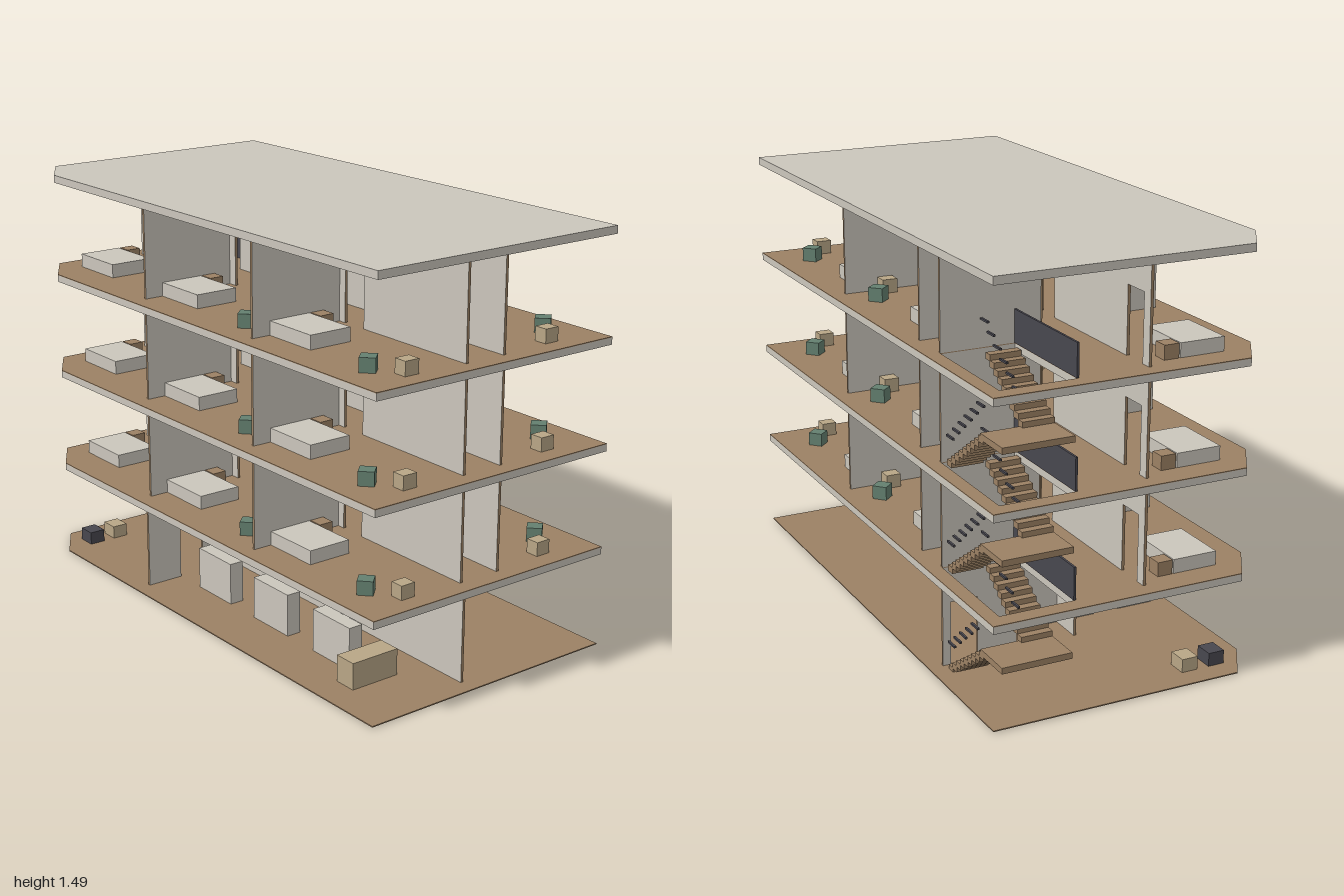
import * as THREE from 'three';

const mat = (name, color, side = THREE.FrontSide) => {
  const m = new THREE.MeshStandardMaterial({ color, side });
  m.name = name;
  return m;
};

export function createModel() {
  const root = new THREE.Group();
  root.name = 'apartmentBuilding';
  const plaster = mat('plaster', 0xcbc6bc);
  const wood = mat('wood', 0x9c8164);
  const tan = mat('tan', 0xb8a686);
  const green = mat('green', 0x648070);
  const dark = mat('dark', 0x48474f);

  const TOPS = [0.367, 0.741, 1.115, 1.49]; // upper faces of the slabs
  const SLAB = 0.028, T = 0.01;

  const add = (parent, name, geo, material) => {
    const m = new THREE.Mesh(geo, material);
    m.name = name;
    parent.add(m);
    return m;
  };
  // Box given by its ranges on each axis
  const box = (parent, name, material, [x0, x1], [y0, y1], [z0, z1]) => {
    const m = add(parent, name, new THREE.BoxGeometry(x1 - x0, y1 - y0, z1 - z0), material);
    m.position.set((x0 + x1) / 2, (y0 + y1) / 2, (z0 + z1) / 2);
    return m;
  };

  // Floor outline with one cut corner; optional stairwell opening
  const plate = (height, y, opening) => {
    const v = (x, z) => new THREE.Vector2(x, -z);
    const s = new THREE.Shape([v(-0.5, 1), v(0.51, 1), v(0.5, -1), v(-0.42, -1), v(-0.515, -0.85)]);
    if (opening) {
      s.holes.push(new THREE.Path([v(0.18, -0.515), v(0.18, -0.94), v(0.45, -0.94), v(0.45, -0.515)]));
    }
    const g = new THREE.ExtrudeGeometry(s, { depth: height, bevelEnabled: false });
    return g.rotateX(-Math.PI / 2).translate(0, y, 0);
  };

  // Wall with doorways: plaster faces, wooden ends and jambs.
  // axis 'x' runs along x at z = at; axis 'z' runs along z at x = at.
  const wall = (parent, name, axis, at, from, to, y, h, doors = []) => {
    const k = axis === 'x' ? 1 : -1;
    const [a, b] = [k * from, k * to].sort((p, q) => p - q);
    const s = new THREE.Shape();
    s.moveTo(a, 0);
    doors.map((d) => d.map((t) => k * t).sort((p, q) => p - q))
      .sort((p, q) => p[0] - q[0])
      .forEach(([d0, d1]) => {
        s.lineTo(d0, 0); s.lineTo(d0, 0.235); s.lineTo(d1, 0.235); s.lineTo(d1, 0);
      });
    s.lineTo(b, 0); s.lineTo(b, h); s.lineTo(a, h); s.closePath();
    const g = new THREE.ExtrudeGeometry(s, { depth: T, bevelEnabled: false }).translate(0, 0, -T / 2);
    if (axis === 'z') g.rotateY(Math.PI / 2).translate(at, y, 0);
    else g.translate(0, y, at);
    add(parent, name, g, [plaster, wood]);
  };

  // Bed with its nightstand, headboard end at z0
  const bedSet = (parent, side, y, z0) => {
    const span = (a, b) => (side > 0 ? [a, b] : [-b, -a]);
    box(parent, 'bed', plaster, span(0.215, 0.38), [y, y + 0.05], [z0, z0 + 0.22]);
    box(parent, 'nightstand', wood, span(0.155, 0.21), [y, y + 0.05], [z0, z0 + 0.055]);
  };
  // Small table and turned armchair
  const seating = (parent, side, y, z) => {
    const x = side * 0.3;
    box(parent, 'sideTable', tan, [x - 0.028, x + 0.028], [y, y + 0.05], [z - 0.025, z + 0.025]);
    const chair = box(parent, 'armchair', green, [-0.027, 0.027], [y, y + 0.05], [-0.027, 0.027]);
    chair.position.x = side * 0.376;
    chair.position.z = z - 0.095;
    chair.rotation.y = 0.75;
  };

  // Ground level
  const ground = new THREE.Group();
  ground.name = 'groundLevel';
  root.add(ground);
  add(ground, 'groundFloor', plate(0.004, 0), wood);
  const gh = TOPS[0] - SLAB;
  wall(ground, 'lobbyWall', 'z', -0.065, 0.94, -0.505, 0, gh);
  wall(ground, 'backWall', 'x', -0.375, -0.45, 0.17, 0, gh, [[-0.31, -0.21]]);
  wall(ground, 'returnWall', 'z', 0.17, -0.38, -0.505, 0, gh);
  wall(ground, 'stairWall', 'x', -0.51, 0.17, 0.45, 0, gh, [[0.32, 0.42]]);
  box(ground, 'counter', tan, [-0.39, -0.2], [0, 0.1], [0.68, 0.765]);
  for (const z of [0.545, 0.2, -0.145]) {
    box(ground, 'shelf', plaster, [-0.31, -0.255], [0, 0.16], [z - 0.1, z + 0.1]);
  }
  box(ground, 'crate', tan, [-0.31, -0.25], [0, 0.052], [-0.92, -0.85]);
  box(ground, 'bin', dark, [-0.415, -0.355], [0, 0.052], [-0.92, -0.85]);

  // Slabs, wooden floor finish and roof
  TOPS.forEach((top, i) => {
    const roof = i === 3;
    add(root, roof ? 'roofSlab' : 'floorSlab', plate(SLAB - (roof ? 0 : 0.003), top - SLAB, !roof), plaster);
    if (!roof) add(root, 'floorFinish', plate(0.003, top - 0.003, true), wood);
  });

  // Upper storeys
  for (let i = 0; i < 3; i++) {
    const y = TOPS[i], h = TOPS[i + 1] - SLAB - y;
    const storey = new THREE.Group();
    storey.name = 'storey' + (i + 1);
    root.add(storey);
    const doors = [[0.33, 0.43], [-0.31, -0.21]];
    wall(storey, 'corridorWallLeft', 'z', 0.08, 0.94, -0.505, y, h, doors);
    wall(storey, 'corridorWallRight', 'z', -0.08, 0.94, -0.94, y, h, [...doors, [-0.9, -0.8]]);
    for (const side of [1, -1]) {
      for (const z of [0.295, -0.35]) {
        wall(storey, 'partition', 'x', z, side * 0.085, side * 0.45, y, h);
        bedSet(storey, side, y, z + 0.006);
        seating(storey, side, y, z + 0.61);
      }
    }
    wall(storey, 'stairWall', 'x', -0.51, 0.085, 0.45, y, h);
    bedSet(storey, -1, y, -0.9);
    box(storey, 'stairGuard', dark, [0.175, 0.183], [y, y + 0.115], [-0.94, -0.515]);
  }

  // Half-turn stairs, one set for each storey
  for (let i = 0; i < 3; i++) {
    const y0 = i ? TOPS[i - 1] : 0, rise = TOPS[i] - y0;
    const stairs = new THREE.Group();
    stairs.name = 'stairs' + (i + 1);
    root.add(stairs);
    const n = 9, run = 0.029, step = rise / (2 * n + 1);
    for (let s = 0; s < n; s++) {
      const za = -0.54 - s * run, ya = y0 + (s + 1) * step;
      box(stairs, 'lowerStep', wood, [0.325, 0.44], [ya - 0.022, ya], [za - run - 0.004, za]);
      const zb = -0.8 + s * run, yb = y0 + rise / 2 + (s + 1) * step;
      box(stairs, 'upperStep', wood, [0.185, 0.3], [yb - 0.022, yb], [zb - 0.004, zb + run]);
    }
    const yl = y0 + rise / 2;
    box(stairs, 'landing', wood, [0.185, 0.44], [yl - 0.022, yl], [-0.94, -0.785]);
    // Stepped handrail pieces
    for (let s = 0; s < 6; s++) {
      const z = -0.555 - s * 0.045, ya = y0 + 0.095 + s * 0.036, yb = y0 + 0.473 - s * 0.033;
      box(stairs, 'lowerRail', dark, [0.431, 0.439], [ya, ya + 0.007], [z - 0.025, z + 0.025]);
      box(stairs, 'upperRail', dark, [0.306, 0.314], [yb, yb + 0.007], [z - 0.025, z + 0.025]);
    }
  }
  return root;
}
